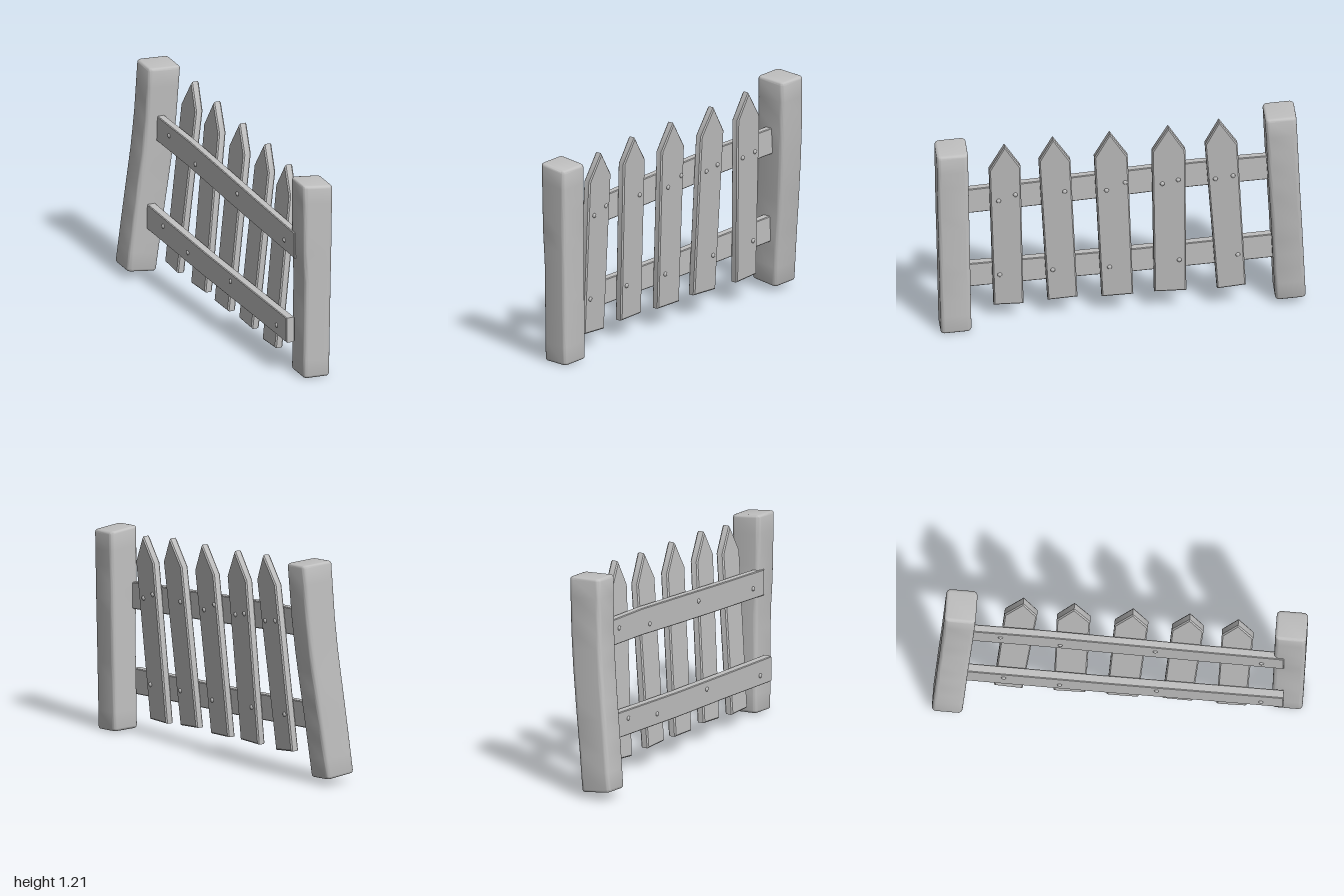
import * as THREE from 'three';
import { toCreasedNormals } from 'three/addons/utils/BufferGeometryUtils.js';

const wood = new THREE.MeshStandardMaterial({ color: 0xc0c0c0 });
wood.name = 'greyWood';

function addMesh(parent, name, geometry) {
  const mesh = new THREE.Mesh(geometry, wood);
  mesh.name = name;
  parent.add(mesh);
  return mesh;
}

// Move every vertex by a rule
function deform(geometry, rule) {
  const pos = geometry.attributes.position;
  const v = new THREE.Vector3();
  for (let i = 0; i < pos.count; i++) {
    rule(v.fromBufferAttribute(pos, i));
    pos.setXYZ(i, v.x, v.y, v.z);
  }
  return toCreasedNormals(geometry, 0.6);
}

// Rounded square post, bent through sections [y, xMin, xMax, zMin, zMax]
function postGeometry(sections, tiltBottom, tiltTop) {
  const h = 0.5, b = 0.09, e = 0.015;
  const W = 0.17, s = h * W - e, r = b * W * 0.6;
  const shape = new THREE.Shape();
  shape.absarc(s - r, s - r, r, 0, Math.PI / 2);
  shape.absarc(r - s, s - r, r, Math.PI / 2, Math.PI);
  shape.absarc(r - s, r - s, r, Math.PI, Math.PI * 1.5);
  shape.absarc(s - r, r - s, r, Math.PI * 1.5, Math.PI * 2);
  const y0 = sections[0][0], H = sections[sections.length - 1][0] - y0;
  const geo = new THREE.ExtrudeGeometry(shape, {
    depth: H - 2 * e, steps: 12, curveSegments: 3,
    bevelSize: e, bevelThickness: e, bevelSegments: 3,
  });
  geo.rotateX(-Math.PI / 2).translate(0, e, 0);
  return deform(geo, (p) => {
    const t = p.y / H, y = y0 + p.y;
    let i = 0;
    while (i < sections.length - 2 && y > sections[i + 1][0]) i++;
    const A = sections[i], B = sections[i + 1];
    const k = (y - A[0]) / (B[0] - A[0]);
    const at = (n) => THREE.MathUtils.lerp(A[n], B[n], k);
    const u = p.x / W, w = p.z / W;
    p.set(
      THREE.MathUtils.lerp(at(1), at(2), u + 0.5),
      y + u * THREE.MathUtils.lerp(tiltBottom, tiltTop, t) - w * 0.01,
      THREE.MathUtils.lerp(at(3), at(4), w + 0.5),
    );
  });
}

// Board cut from an outline of [z, y] points; thickness runs along +x
function boardGeometry(outline, thickness, bevel) {
  const shape = new THREE.Shape(outline.map(([z, y]) => new THREE.Vector2(-z, y)));
  const geo = new THREE.ExtrudeGeometry(shape, {
    depth: thickness - 2 * bevel, bevelSize: bevel, bevelThickness: bevel,
    bevelOffset: -bevel, bevelSegments: 1,
  });
  return geo.rotateY(Math.PI / 2).translate(bevel, 0, 0);
}

// Pickets lean outward as they rise
const PICKET = 0.045;
const lean = (y) => -0.034 + 0.08 * y;

export function createModel() {
  const fence = new THREE.Group();
  fence.name = 'fence';

  // Posts
  addMesh(fence, 'frontPost', postGeometry([
    [0.005, 0, 0.155, 0.812, 0.978],
    [0.55, 0.003, 0.159, 0.822, 0.99],
    [0.72, -0.006, 0.161, 0.825, 0.994],
    [1.1, -0.01, 0.164, 0.832, 1.0],
  ], -0.005, -0.02));
  addMesh(fence, 'backPost', postGeometry([
    [0.04, -0.165, 0.01, -1.0, -0.835],
    [0.3, -0.138, 0.04, -0.986, -0.82],
    [0.5, -0.116, 0.066, -0.975, -0.81],
    [0.7, -0.094, 0.09, -0.963, -0.797],
    [0.9, -0.078, 0.108, -0.953, -0.785],
    [1.205, -0.065, 0.125, -0.938, -0.77],
  ], -0.022, -0.01));

  // Rails: lower and upper outline as [z, bottom, top], with nails on the inner face
  const rails = [
    { name: 'lowerRail', x: -0.058, t: 0.048, nailZ: [-0.62, -0.32, 0.2, 0.76],
      line: [[0.88, 0.187, 0.327], [0.4, 0.213, 0.35], [-0.1, 0.236, 0.375], [-0.85, 0.283, 0.425]] },
    { name: 'upperRail', x: -0.013, t: 0.043, nailZ: [-0.64, -0.32, 0.19, 0.76],
      line: [[0.88, 0.66, 0.805], [0.4, 0.695, 0.843], [0, 0.727, 0.877], [-0.4, 0.762, 0.91], [-0.85, 0.787, 0.93]] },
  ];
  for (const { name, x, t, nailZ, line } of rails) {
    const outline = [
      ...line.map(([z, lo]) => [z, lo]),
      ...line.slice().reverse().map(([z, , hi]) => [z, hi]),
    ];
    const geo = boardGeometry(outline, t, 0.004).translate(x, 0, 0);
    addMesh(fence, name, toCreasedNormals(geo, 0.4));
    const first = line[0], last = line[line.length - 1];
    nailZ.forEach((z, i) => {
      const k = (first[0] - z) / (first[0] - last[0]);
      const mid = THREE.MathUtils.lerp(first[1] + first[2], last[1] + last[2], k) / 2;
      addNail(fence, x, mid + (i % 2 ? -0.015 : 0.02), z);
    });
  }

  // Pickets: two bottom corners, right shoulder, tip, left shoulder
  const pickets = [
    [[0.68, 0.085], [0.52, 0.085], [0.543, 0.965], [0.63, 1.1], [0.712, 0.95]],
    [[0.39, 0.1], [0.23, 0.112], [0.275, 0.99], [0.37, 1.133], [0.445, 0.995]],
    [[0.1, 0.105], [-0.07, 0.112], [-0.033, 1.0], [0.065, 1.15], [0.147, 1.0]],
    [[-0.183, 0.12], [-0.355, 0.12], [-0.343, 1.02], [-0.25, 1.17], [-0.163, 1.02]],
    [[-0.52, 0.12], [-0.675, 0.137], [-0.623, 1.045], [-0.523, 1.195], [-0.448, 1.05]],
  ];
  for (const outline of pickets) {
    const geo = boardGeometry(outline, PICKET, 0.007);
    addMesh(fence, 'picket', deform(geo, (p) => { p.x += lean(p.y); }));
  }

  // Nails on the picket faces, [z, y]
  const nails = [
    [0.66, 0.755], [0.57, 0.79], [0.305, 0.795], [0.08, 0.79], [-0.02, 0.835],
    [-0.22, 0.815], [-0.305, 0.835], [-0.505, 0.83], [-0.6, 0.845],
    [0.65, 0.28], [0.365, 0.295], [0.06, 0.295], [-0.315, 0.32], [-0.63, 0.335],
  ];
  for (const [z, y] of nails) addNail(fence, lean(y) + PICKET, y, z);

  return fence;
}

// Flattened round nail head
function addNail(parent, x, y, z) {
  const nail = addMesh(parent, 'nail', new THREE.SphereGeometry(0.013, 8, 6));
  nail.scale.x = 0.7;
  nail.position.set(x, y, z);
}
